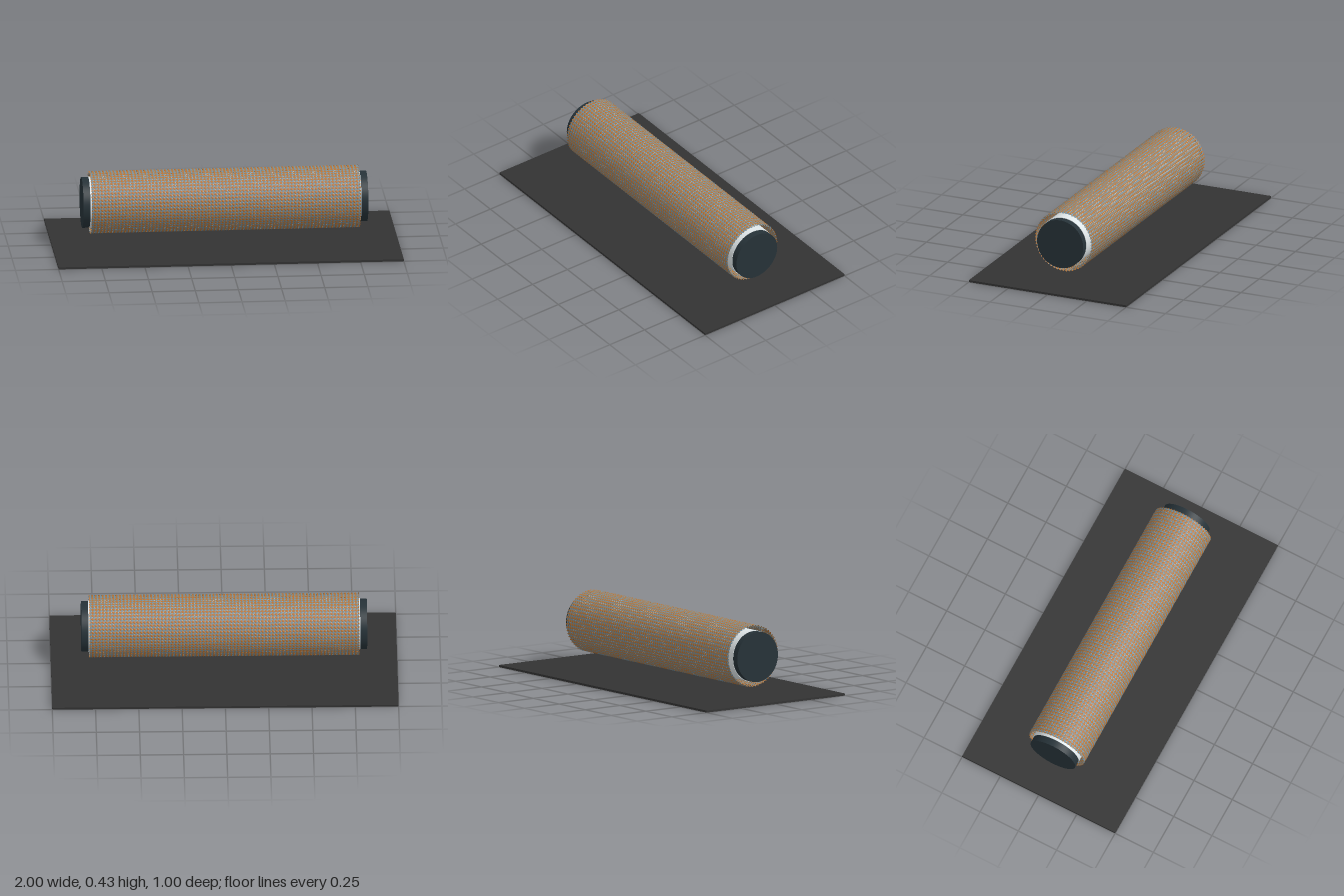
import * as THREE from 'three';
import { mergeGeometries } from 'three/addons/utils/BufferGeometryUtils.js';

const AXIS_Y = 0.252;      // height of the cable axis
const STRANDS = 56;        // strands per braid direction
const STEPS = 156;         // crossings along each strand
const HALF = 0.78;         // half length of the braid
const RADIUS = 0.177;      // mean braid radius
const WAVE = 0.0028;       // over / under height
const HALF_WIDTH = 0.0062; // half width of a strand

function mesh(name, geometry, color, side = THREE.FrontSide) {
  const m = new THREE.Mesh(geometry, new THREE.MeshStandardMaterial({ color, side }));
  m.name = name;
  return m;
}

// One domed ribbon winding round the x axis, rising and dipping at each crossing
function strand(start, dir) {
  const positions = [], index = [];
  const off = HALF_WIDTH * Math.SQRT1_2;
  for (let m = 0; m <= STEPS; m++) {
    const x = -HALF + (2 * HALF * m) / STEPS;
    const angle = start + (dir * m * Math.PI) / STRANDS;
    const r = RADIUS + WAVE * dir * (m % 2 ? -1 : 1);
    for (const s of [-1, 0, 1]) {
      const a = angle + (s * off) / RADIUS;
      const px = THREE.MathUtils.clamp(x - dir * s * off, -HALF, HALF);
      const pr = r + (s ? -0.001 : 0.0012);
      positions.push(px, pr * Math.cos(a), pr * Math.sin(a));
    }
    if (m < STEPS) {
      for (const c of [0, 1]) {
        const a = m * 3 + c, b = a + 1, d = a + 3, e = a + 4;
        index.push(a, b, d, b, e, d);
      }
    }
  }
  // Face the ribbon outwards
  for (let i = 0; i < index.length; i += 3) {
    [index[i + 1], index[i + 2]] = [index[i + 2], index[i + 1]];
  }
  const g = new THREE.BufferGeometry();
  g.setAttribute('position', new THREE.Float32BufferAttribute(positions, 3));
  g.setIndex(index);
  g.computeVertexNormals();
  // Use whichever winding points away from the axis
  const p = g.attributes.position, n = g.attributes.normal;
  let out = 0;
  for (let i = 0; i < p.count; i++) out += p.getY(i) * n.getY(i) + p.getZ(i) * n.getZ(i);
  if (out < 0) {
    for (let i = 0; i < index.length; i += 3) {
      [index[i + 1], index[i + 2]] = [index[i + 2], index[i + 1]];
    }
    g.setIndex(index);
    g.computeVertexNormals();
  }
  return g;
}

function braidLayer(name, dir, color) {
  const parts = [];
  for (let i = 0; i < STRANDS; i++) parts.push(strand((i * 2 * Math.PI) / STRANDS, dir));
  return mesh(name, mergeGeometries(parts), color, THREE.DoubleSide);
}

export function createModel() {
  const model = new THREE.Group();
  model.name = 'braidedSleeveDisplay';

  // Base plate
  const base = mesh('basePlate', new THREE.BoxGeometry(2, 0.012, 1), 0x333333);
  base.position.y = 0.006;
  model.add(base);

  const cable = new THREE.Group();
  cable.name = 'cable';
  cable.position.y = AXIS_Y;
  model.add(cable);

  // Pale inner core
  const coreShape = new THREE.CylinderGeometry(0.149, 0.149, 1.57, 64).rotateZ(Math.PI / 2);
  cable.add(mesh('core', coreShape, 0xdfe6e8));

  // Dark end caps
  for (const side of [-1, 1]) {
    const capShape = new THREE.CylinderGeometry(0.1465, 0.1465, 0.04, 64).rotateZ(Math.PI / 2);
    const cap = mesh(side > 0 ? 'leftEndCap' : 'rightEndCap', capShape, 0x263238);
    cap.position.x = side * 0.805;
    cable.add(cap);
  }

  // Two interlaced helical layers
  const braid = new THREE.Group();
  braid.name = 'braid';
  braid.add(braidLayer('copperStrands', 1, 0xb87333), braidLayer('steelStrands', -1, 0x78909c));
  cable.add(braid);

  return model;
}
